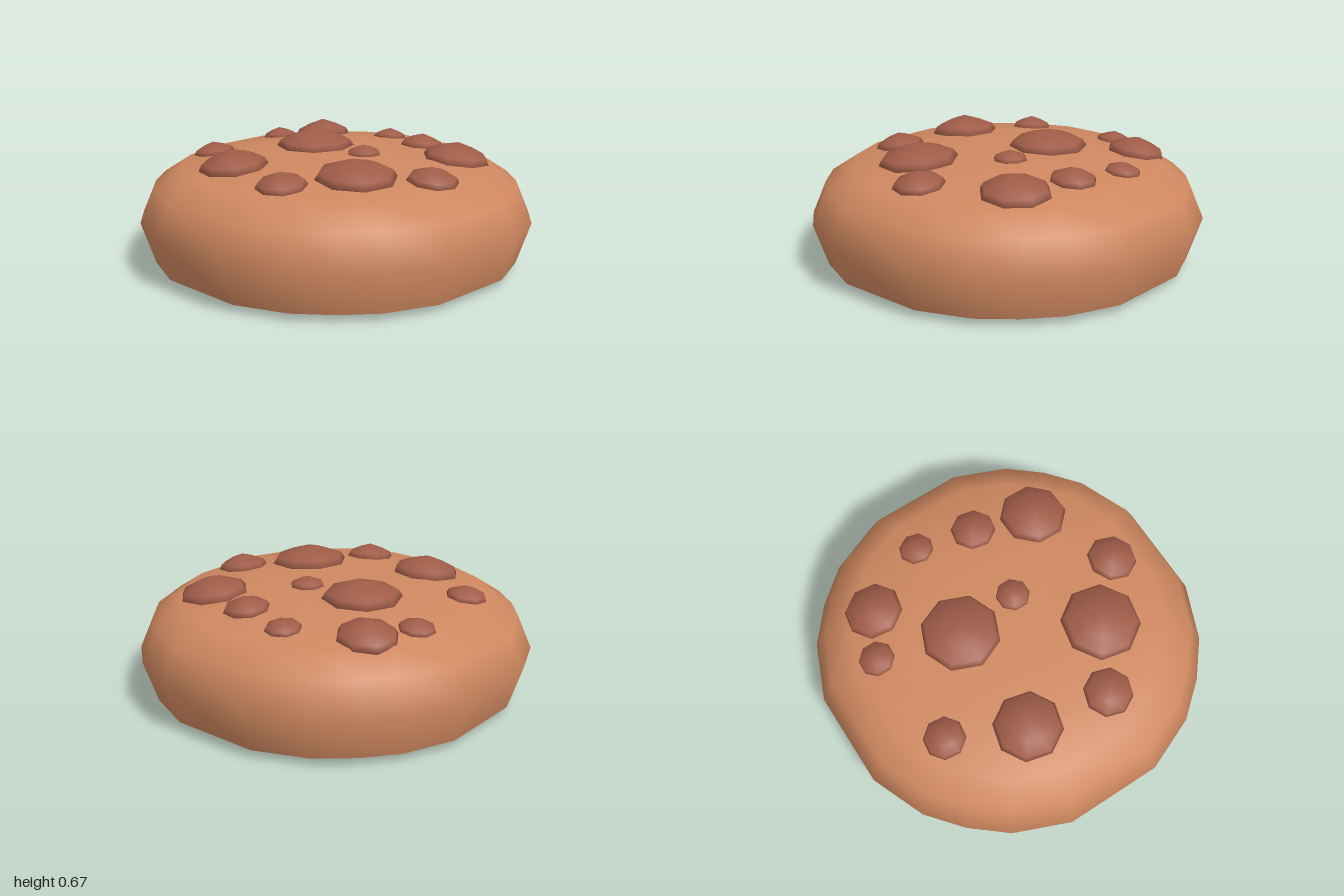
import * as THREE from 'three';
import { mergeVertices } from 'three/addons/utils/BufferGeometryUtils.js';

const dough = new THREE.MeshStandardMaterial({ name: 'dough', color: 0xcf8860 });
const chocolate = new THREE.MeshStandardMaterial({ name: 'chocolate', color: 0x9f5c48 });

// one quadrant of the rounded-square outline, repeated four times round the cookie
const quadrant = [[0.26, 1], [0.55, 0.88], [0.73, 0.73], [0.88, 0.55], [1, 0.26]];
const outline = [];
for (let q = 0; q < 4; q++) {
  const c = Math.round(Math.cos(q * Math.PI / 2)), s = Math.round(Math.sin(q * Math.PI / 2));
  for (const [x, z] of quadrant) outline.push([x * c + z * s, z * c - x * s]);
}

// [scale, height] from the lower edge to the top centre
const profile = [[0.93, 0.04], [1, 0.26], [0.93, 0.43], [0.79, 0.525], [0.5, 0.562], [0.25, 0.573], [0, 0.576]];
const underside = [[0, 0], [0.72, 0], [0.93, 0.04]];

// weld seams so that normals are smooth
function smooth(geometry) {
  geometry.deleteAttribute('uv');
  geometry.deleteAttribute('normal');
  const welded = mergeVertices(geometry, 1e-4);
  welded.computeVertexNormals();
  return welded;
}

// lathe whose rings follow the outline
function ringSolid(points, name) {
  const g = new THREE.LatheGeometry(points.map(p => new THREE.Vector2(...p)), outline.length);
  const pos = g.attributes.position;
  for (let i = 0; i < pos.count; i++) {
    const [ox, oz] = outline[Math.floor(i / points.length) % outline.length];
    const [r, y] = points[i % points.length];
    pos.setXYZ(i, ox * r, y, oz * r);
  }
  const mesh = new THREE.Mesh(smooth(g), dough);
  mesh.name = name;
  return mesh;
}

// height of the cookie's top at a given radius
function topHeight(r) {
  for (let i = profile.length - 1; i > 2; i--) {
    const [r0, y0] = profile[i], [r1, y1] = profile[i - 1];
    if (r <= r1) return y0 + (y1 - y0) * (r - r0) / (r1 - r0);
  }
  return 0.43;
}

// chips: x, z, radius, turn
const chips = [
  [0.08, -0.24, 0.21, 0], [-0.26, 0.4, 0.21, 0.2], [0.45, 0.45, 0.18, 0.4],
  [-0.52, -0.22, 0.18, 0.15], [0.44, -0.55, 0.155, 0.2], [-0.34, -0.6, 0.11, 0.25],
  [0.205, -0.67, 0.095, 0.35], [0.62, -0.18, 0.093, 0.1], [0.11, 0.1, 0.09, 0.4],
  [0.545, 0.13, 0.12, 0.2], [-0.59, 0.22, 0.13, 0.1], [0.01, 0.66, 0.133, 0.1],
];

export function createModel() {
  const cookie = new THREE.Group();
  cookie.name = 'cookie';
  cookie.add(ringSolid(profile, 'cookieBody'), ringSolid(underside, 'cookieBase'));

  // faceted dome with its rim sunk into the dough
  const dome = smooth(new THREE.LatheGeometry(
    [[0.85, -0.5], [1, 0], [0.9, 0.35], [0.5, 0.7], [0, 1]].map(p => new THREE.Vector2(...p)), 8));
  chips.forEach(([x, z, r, turn], i) => {
    const chip = new THREE.Mesh(dome, chocolate);
    chip.name = 'chocolateChip' + (i + 1);
    const d = Math.hypot(x, z), e = d / 1.03;
    // lean with the slope of the top
    const slope = (topHeight(e - r * 0.8) - topHeight(e + r * 0.8)) / (1.6 * r);
    const normal = new THREE.Vector3(x / d * slope, 1, z / d * slope).normalize();
    if (d < 0.3) normal.set(0, 1, 0);
    chip.quaternion.setFromUnitVectors(new THREE.Vector3(0, 1, 0), normal)
      .multiply(new THREE.Quaternion().setFromAxisAngle(new THREE.Vector3(0, 1, 0), turn));
    chip.scale.set(r, Math.min(0.54 * r, 0.092), r);
    chip.position.set(x, topHeight(e), z);
    cookie.add(chip);
  });
  return cookie;
}
